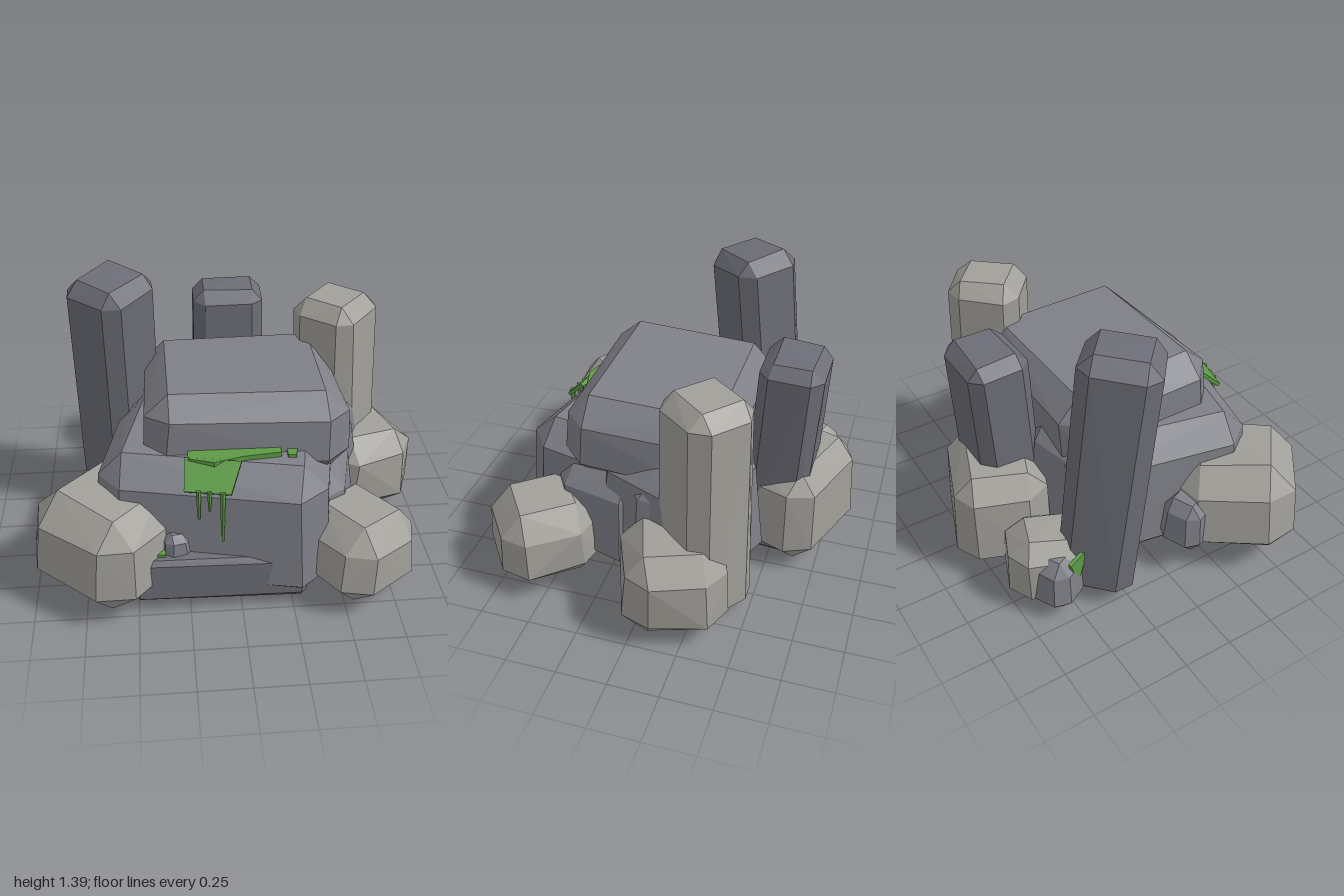
import * as THREE from 'three';
import { ConvexGeometry } from 'three/addons/geometries/ConvexGeometry.js';

const WARM = 0xa19f99, SLATE = 0x7f8088, DARK = 0x6c6d76, MOSS = 0x5c9a45;

function makeRandom(seed) {
  let s = seed;
  return () => {
    s = (s * 16807) % 2147483647;
    return s / 2147483647 - 0.5;
  };
}

export function createModel() {
  const model = new THREE.Group();
  model.name = 'rockPile';
  const random = makeRandom(4211);
  const materials = {};
  const material = (color) => (materials[color] ??= new THREE.MeshStandardMaterial({
    color, flatShading: true, side: color === MOSS ? THREE.DoubleSide : THREE.FrontSide,
  }));

  // A block with bevelled edges, cut corners and slightly uneven faces
  function rock(name, color, pos, size, rot, bevel, taper = 0.95, wobble = 0.02) {
    const half = size.map((v) => v / 2);
    const points = [];
    for (const sx of [-1, 1]) for (const sy of [-1, 1]) for (const sz of [-1, 1]) {
      for (let axis = 0; axis < 3; axis++) {
        const p = [sx, sy, sz].map((s, i) =>
          s * (half[i] - (i === axis ? 0 : bevel)) + random() * wobble);
        const k = sy > 0 ? taper : 1;
        points.push(new THREE.Vector3(p[0] * k, p[1], p[2] * k));
      }
    }
    const mesh = new THREE.Mesh(new ConvexGeometry(points), material(color));
    mesh.name = name;
    mesh.position.set(...pos);
    mesh.rotation.set(rot[0], rot[1], rot[2], 'XZY');
    model.add(mesh);
  }

  // Central mass
  rock('mainBody', SLATE, [-0.06, 0.38, 0.18], [1.16, 0.73, 1.0], [0, -0.2, 0], 0.13);
  rock('leftMound', SLATE, [0.32, 0.41, -0.06], [0.72, 0.78, 0.78], [0, -0.4, 0], 0.16, 0.85);
  rock('leftShoulder', SLATE, [0.37, 0.34, 0.27], [0.46, 0.6, 0.64], [0, -0.25, 0], 0.14, 0.88);
  rock('rightMound', SLATE, [-0.22, 0.4, -0.12], [0.6, 0.76, 0.66], [0, 0.25, 0], 0.14, 0.85);
  rock('topBlock', SLATE, [0.05, 0.765, 0.05], [1.0, 0.44, 0.86], [-0.05, 0, -0.015], 0.11, 0.97);
  rock('frontLedge', DARK, [-0.1, 0.18, 0.53], [0.84, 0.24, 0.4], [0, 0, -0.02], 0.025, 0.98, 0.01);

  // Boulders around the foot
  rock('frontRightBoulder', WARM, [-0.64, 0.315, 0.48], [0.64, 0.51, 0.62], [0, -0.68, -0.07], 0.13);
  rock('frontLeftBoulder', WARM, [0.575, 0.255, 0.575], [0.5, 0.43, 0.52], [0, 0.64, -0.04], 0.115);
  rock('leftBoulder', WARM, [0.715, 0.265, -0.15], [0.52, 0.46, 0.5], [0, 0.36, -0.03], 0.11);
  rock('backBoulder', WARM, [-0.04, 0.305, -0.58], [0.6, 0.53, 0.48], [0, -0.36, 0], 0.1);
  rock('backRightBoulder', WARM, [-0.47, 0.21, -0.55], [0.37, 0.37, 0.37], [0, -0.4, 0], 0.09);

  // Tall standing stones
  rock('leftPillar', WARM, [0.59, 0.61, -0.27], [0.39, 1.17, 0.37], [0, 0.88, 0.03], 0.075, 0.96, 0.012);
  rock('rightPillar', DARK, [-0.575, 0.71, -0.25], [0.38, 1.34, 0.36], [0.1, 0.86, 0.01], 0.07, 0.99, 0.012);
  rock('backPillar', DARK, [0.03, 0.59, -0.53], [0.38, 1.12, 0.32], [-0.06, 0, 0], 0.06, 0.98, 0.012);

  // Small stones tucked into the gaps
  const pebbles = [
    [[-0.6, 0.19, -0.56], 0.24, 0.28, 0.5],
    [[-0.69, 0.29, 0.14], 0.24, 0.28, 0.4],
    [[-0.31, 0.32, 0.61], 0.14, 0.16, 0.3],
    [[0.52, 0.5, 0.0], 0.26, 0.3, 0.7],
    [[-0.44, 0.55, -0.1], 0.28, 0.3, 0.3],
  ];
  for (const [pos, w, h, yaw] of pebbles) {
    rock('smallStone', SLATE, pos, [w, h, w], [0, yaw, 0], w * 0.25, 0.85, 0.01);
  }

  // Moss: thin sheets cut from an outline, laid flat or draped over an edge
  function mossSheet(name, outline, depth, pos, rot) {
    const shape = new THREE.Shape(outline.map(([x, y]) => new THREE.Vector2(x, y)));
    const geometry = new THREE.ExtrudeGeometry(shape, { depth, bevelEnabled: false });
    const mesh = new THREE.Mesh(geometry, material(MOSS));
    mesh.name = name;
    mesh.position.set(...pos);
    mesh.rotation.set(rot[0], rot[1], rot[2], 'YXZ');
    model.add(mesh);
  }
  mossSheet('mossDrape', [[-0.135, 0.08], [0.135, 0.08], [0.1, -0.08], [-0.12, -0.08]],
    0.02, [-0.135, 0.695, 0.595], [-0.8, -0.2, 0]);
  mossSheet('mossStrip', [[-0.24, -0.54], [-0.12, -0.58], [0.02, -0.54], [0.2, -0.52],
    [0.2, -0.46], [-0.24, -0.44]], 0.03, [0, 0.735, 0], [-Math.PI / 2, 0, 0]);
  mossSheet('mossTuft', [[0.23, -0.53], [0.27, -0.53], [0.28, -0.48], [0.23, -0.48]],
    0.03, [0, 0.725, 0], [-Math.PI / 2, 0, 0]);
  mossSheet('mossLedgeTuft', [[-0.03, -0.02], [0.02, -0.02], [0.02, 0.02], [-0.03, 0.02]],
    0.04, [-0.38, 0.3, 0.64], [0, 0, 0]);
  mossSheet('mossBackPatch', [[-0.05, 0.02], [0.05, 0.03], [0.05, -0.03], [0.02, -0.1], [-0.03, -0.04]],
    0.02, [-0.67, 0.31, -0.5], [0, -1.2, 0]);

  // Hanging drips below the drape
  for (const [x, bottom, width] of [[-0.2, 0.5, 0.026], [-0.15, 0.55, 0.024], [-0.09, 0.38, 0.028]]) {
    const length = 0.66 - bottom;
    const drip = new THREE.Mesh(
      new THREE.CylinderGeometry(width / 2, width / 4, length, 5), material(MOSS));
    drip.name = 'mossDrip';
    drip.position.set(x, bottom + length / 2, 0.69 + x * 0.2);
    model.add(drip);
  }
  return model;
}
